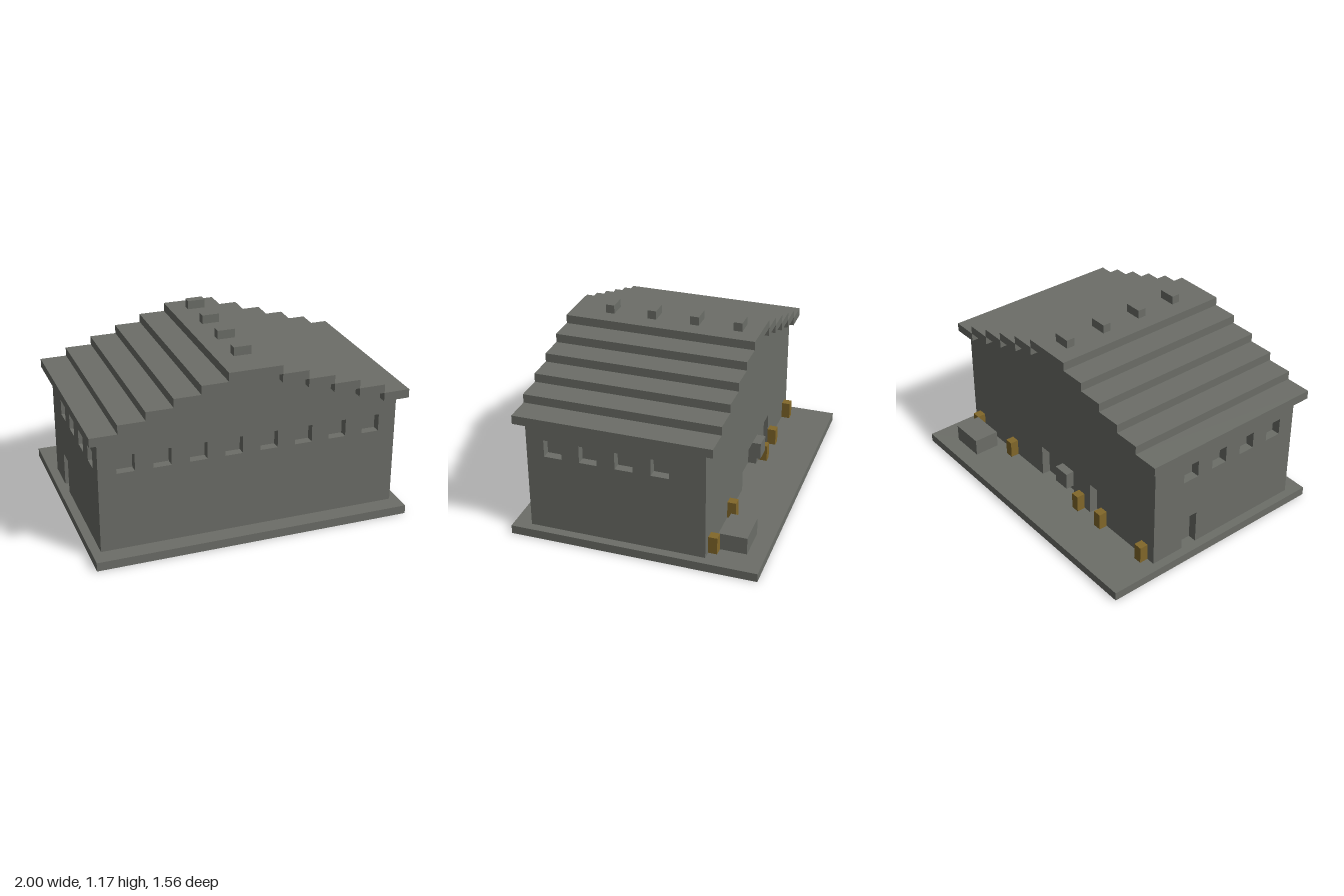
import * as THREE from 'three';

export function createModel() {
  const model = new THREE.Group();
  model.name = 'building';
  const grey = new THREE.MeshStandardMaterial({ color: 0x6c6e68 });
  grey.name = 'stone grey';
  const gold = new THREE.MeshStandardMaterial({ color: 0x82682a });
  gold.name = 'dull gold';

  const add = (name, geometry, material = grey) => {
    const mesh = new THREE.Mesh(geometry, material);
    mesh.name = name;
    model.add(mesh);
    return mesh;
  };
  // Box from its lower and upper limits
  const box = (name, [x0, x1], [y0, y1], [z0, z1], material) =>
    add(name, new THREE.BoxGeometry(x1 - x0, y1 - y0, z1 - z0), material)
      .position.set((x0 + x1) / 2, (y0 + y1) / 2, (z0 + z1) / 2);

  const rectPoints = (a0, a1, b0, b1) =>
    [[a0, b0], [a1, b0], [a1, b1], [a0, b1]].map(p => new THREE.Vector2(...p));
  const cut = (shape, openings) => {
    for (const o of openings) shape.holes.push(new THREE.Path(rectPoints(...o).reverse()));
    return shape;
  };
  const extrude = (shape, depth) =>
    new THREE.ExtrudeGeometry(shape, { depth, bevelEnabled: false });

  const FOOT = 0.5; // walls reach into the base slab
  // Stepped gable outline that follows the underside of the roof
  const gable = halfWidth => {
    const half = [[halfWidth, FOOT], [halfWidth, 14]];
    for (let i = 4; i >= 0; i--) half.push([3 * i + 3, 18 - i], [3 * i + 3, 19 - i]);
    const mirrored = half.map(([x, y]) => [-x, y]).reverse();
    return new THREE.Shape([...half, ...mirrored].map(p => new THREE.Vector2(...p)));
  };

  // Base slab and solid core, which closes the back of every recess
  box('base', [-18, 18], [0, 1], [-14, 14]);
  add('core', extrude(gable(16), 18)).position.z = -7;

  // Front wall with a row of eight windows
  const frontWindows = [];
  for (let x = -15; x <= 13; x += 4) frontWindows.push([x, x + 2, 10, 12]);
  add('frontWall', extrude(cut(gable(17), frontWindows), 1)).position.z = 11;

  // Back wall with a wide and a narrow doorway
  const backDoors = [[-3, 3, 1, 5], [-8, -6, 1, 5]];
  add('backWall', extrude(cut(gable(17), backDoors), 1)).position.z = -8;

  // Side walls with four windows each, and a side door on the right
  const sideWindows = [-4, 0, 4, 8].map(z => [z, z + 2, 10, 12]);
  const sideWall = (name, x, openings) => {
    const shape = new THREE.Shape(rectPoints(-7, 11, FOOT, 14));
    add(name, extrude(cut(shape, openings), 1).rotateY(-Math.PI / 2)).position.x = x;
  };
  sideWall('leftWall', 17, sideWindows);
  sideWall('rightWall', -16, [...sideWindows, [-4, -2, 1, 5]]);

  // Roof: a ridge slab and five descending steps on each side
  box('roofRidge', [-3, 3], [19, 20], [-9, 13]);
  for (let i = 1; i <= 5; i++) {
    box('roofStepLeft' + i, [3 * i, 3 * i + 3], [19 - i, 20 - i], [-9, 13]);
    box('roofStepRight' + i, [-3 * i - 3, -3 * i], [19 - i, 20 - i], [-9, 13]);
  }
  for (const z of [-7, -2, 3, 8]) box('roofVent', [-1, 1], [20, 21], [z, z + 1]);

  // Fittings behind the building
  box('yardBlock', [11, 15], [1, 3], [-12, -9]);
  box('doorPanel', [-3, -1], [3, 5], [-9, -8]);
  for (const x of [-16, -9, -5, 8, 15]) box('goldPost', [x, x + 1], [1, 3], [-9, -8], gold);

  model.scale.setScalar(1 / 18);
  return model;
}
